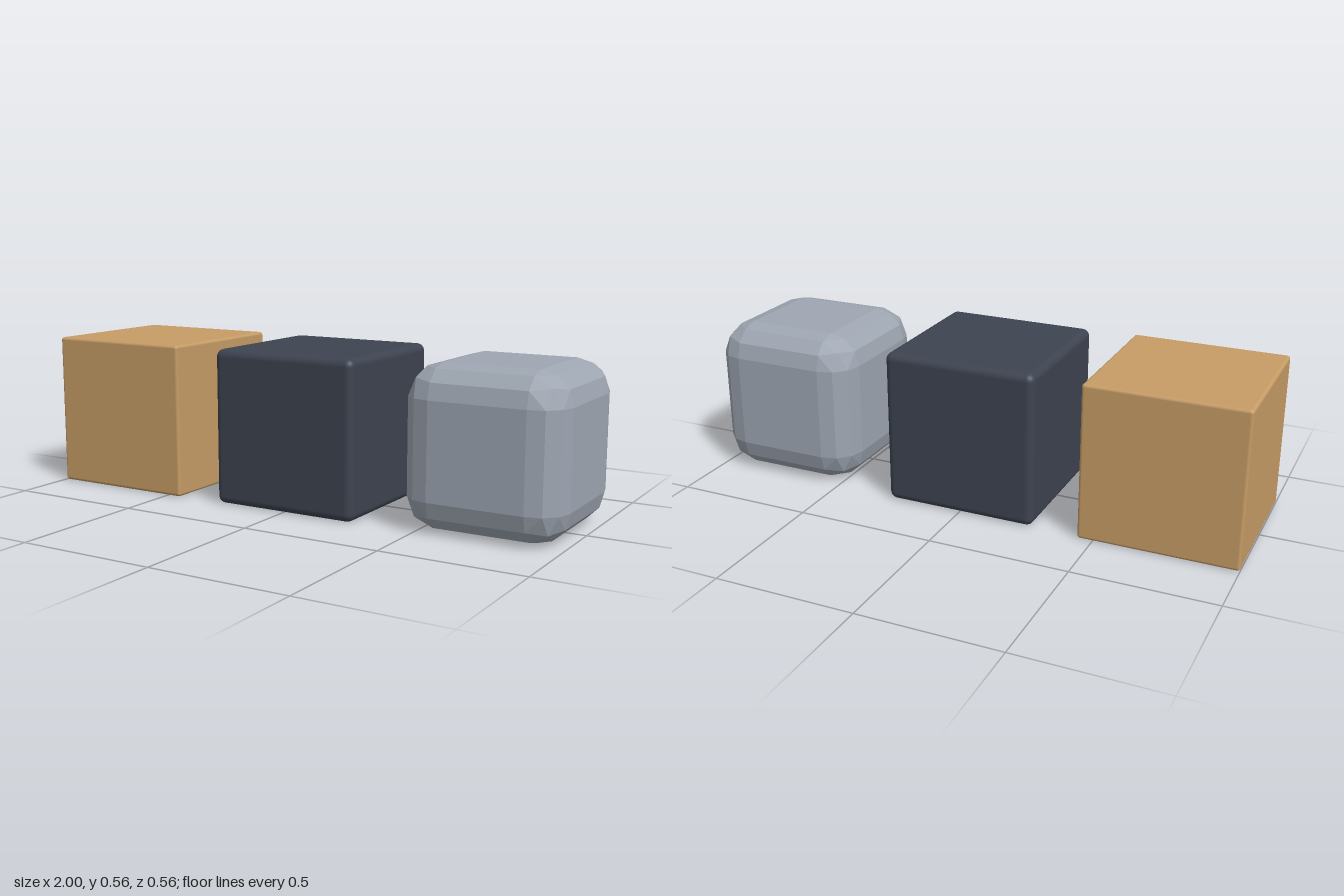
import * as THREE from 'three';
import { RoundedBoxGeometry } from 'three/addons/geometries/RoundedBoxGeometry.js';
import { ConvexGeometry } from 'three/addons/geometries/ConvexGeometry.js';

const SIZE = 0.556;
const SPACING = 0.722;

// Cube with faceted rounded edges: the hull of eight coarse sphere octants
function facetedCube(size, radius, steps) {
  const inner = size / 2 - radius;
  const points = [];
  const wave = (k) => Math.sin((k / steps) * Math.PI / 2);
  for (const sx of [-1, 1]) for (const sy of [-1, 1]) for (const sz of [-1, 1]) {
    for (let i = 0; i <= steps; i++) {
      for (let j = 0; j <= steps - i; j++) {
        const n = new THREE.Vector3(wave(i), wave(j), wave(steps - i - j)).normalize();
        n.multiplyScalar(radius).addScalar(inner);
        points.push(n.multiply(new THREE.Vector3(sx, sy, sz)));
      }
    }
  }
  return new ConvexGeometry(points);
}

export function createModel() {
  const group = new THREE.Group();
  group.name = 'roundedCubes';

  const addCube = (name, geometry, color, x, flatShading = false) => {
    const mesh = new THREE.Mesh(geometry, new THREE.MeshStandardMaterial({ color, flatShading }));
    mesh.name = name;
    mesh.position.set(x, SIZE / 2, 0);
    group.add(mesh);
  };

  // Three cubes with increasingly rounded edges
  addCube('sharpCube', new RoundedBoxGeometry(SIZE, SIZE, SIZE, 3, 0.011), 0xc69c66, -SPACING);
  addCube('softCube', new RoundedBoxGeometry(SIZE, SIZE, SIZE, 4, 0.028), 0x3d4350, 0);
  addCube('roundCube', facetedCube(SIZE, 0.111, 3), 0x9ea6b2, SPACING, true);

  return group;
}
